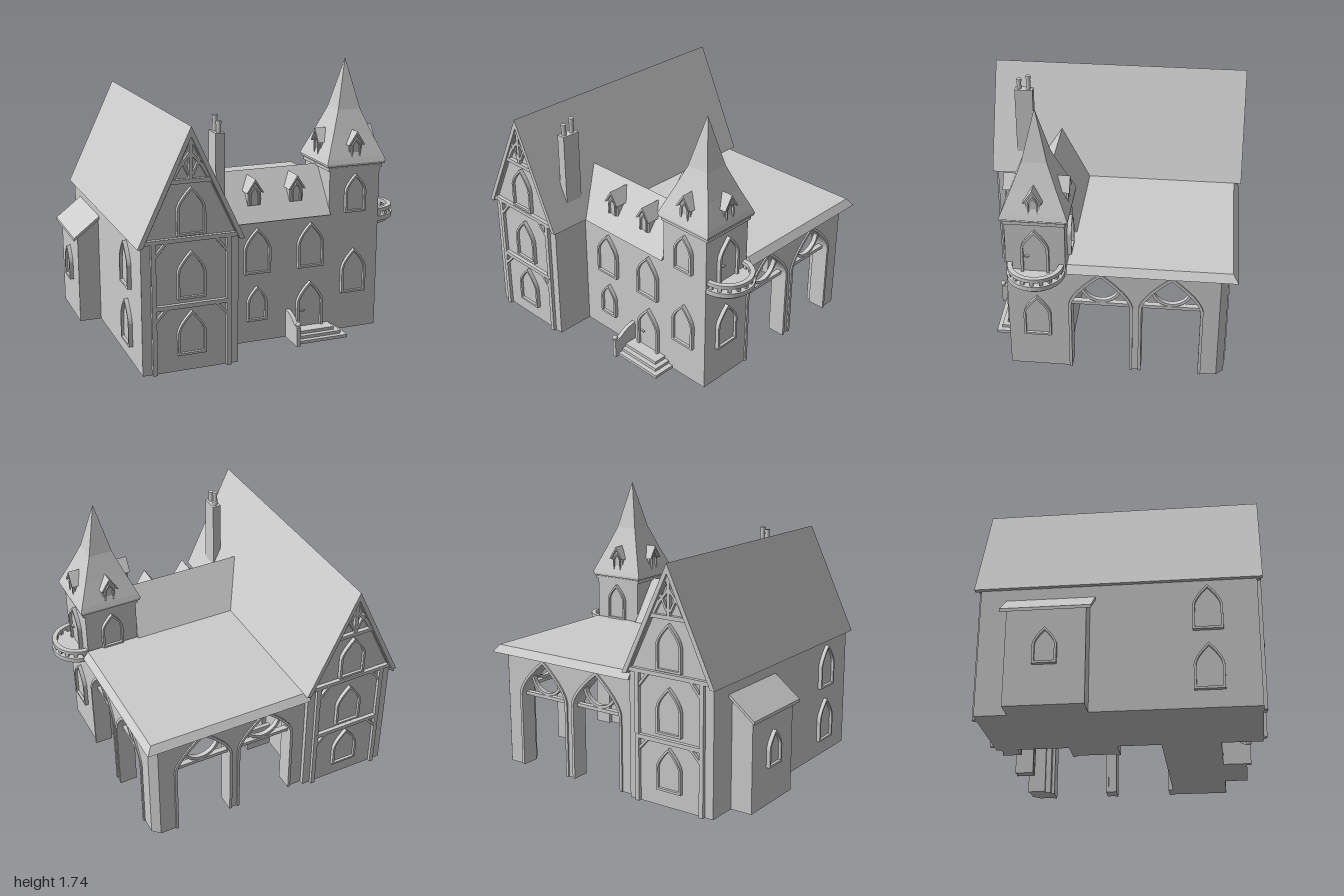
import * as THREE from 'three';
import { ConvexGeometry } from 'three/addons/geometries/ConvexGeometry.js';

const stone = new THREE.MeshStandardMaterial({ color: 0xcccccc });
stone.name = 'grey stone';
const HALF = Math.PI / 2;

function add(parent, geometry, name, x = 0, y = 0, z = 0, ry = 0) {
  const m = new THREE.Mesh(geometry, stone);
  m.name = name;
  m.position.set(x, y, z);
  m.rotation.y = ry;
  parent.add(m);
  return m;
}
function group(parent, name, x = 0, y = 0, z = 0, ry = 0) {
  const g = new THREE.Group();
  g.name = name;
  g.position.set(x, y, z);
  g.rotation.y = ry;
  parent.add(g);
  return g;
}
// Box given by its minimum and maximum corners
function box(parent, name, x0, x1, y0, y1, z0, z1) {
  return add(parent, new THREE.BoxGeometry(x1 - x0, y1 - y0, z1 - z0), name,
    (x0 + x1) / 2, (y0 + y1) / 2, (z0 + z1) / 2);
}
// Straight timber between two points of a facade
function bar(parent, name, x0, y0, x1, y1, w, depth = 0.02) {
  const m = add(parent, new THREE.BoxGeometry(Math.hypot(x1 - x0, y1 - y0), w, depth), name,
    (x0 + x1) / 2, (y0 + y1) / 2, depth / 2);
  m.rotation.z = Math.atan2(y1 - y0, x1 - x0);
}
const poly = (pts) => new THREE.Shape(pts.map((p) => (p.isVector2 ? p : new THREE.Vector2(p[0], p[1]))));
const extrude = (shape, depth) => new THREE.ExtrudeGeometry(shape, { depth, bevelEnabled: false, curveSegments: 12 });

// Pointed arch outline, from lower right over the apex to lower left
function archPoints(w, h, rise = 0.75 * w, x = 0, y = 0) {
  const s = h - rise, r = w / 2, path = new THREE.Path();
  path.moveTo(r, 0);
  path.lineTo(r, s);
  path.quadraticCurveTo(r * 0.93, s + rise * 0.38, 0, h);
  path.quadraticCurveTo(-r * 0.93, s + rise * 0.38, -r, s);
  path.lineTo(-r, 0);
  return path.getPoints(6).map((p) => new THREE.Vector2(p.x + x, p.y + y));
}
function archFrame(w, h, t, rise = 0.75 * w) {
  const inner = archPoints(w - 2 * t, h - t * 1.3, rise * (w - 2 * t) / w);
  return poly(archPoints(w, h, rise).concat(inner.reverse()));
}
function windowAt(parent, x, y, z, ry, w, h) {
  const g = group(parent, 'window', x, y, z, ry);
  add(g, extrude(archFrame(w, h, 0.014), 0.025), 'windowFrame');
  add(g, extrude(poly(archPoints(w - 0.02, h - 0.015)), 0.008), 'windowPane');
  box(g, 'windowSill', -w / 2, w / 2, 0, 0.014, 0, 0.025);
}
function doorAt(parent, x, y, z, ry, w, h) {
  const g = group(parent, 'door', x, y, z, ry);
  add(g, extrude(archFrame(w, h, 0.016), 0.025), 'doorFrame');
  add(g, extrude(poly(archPoints(w - 0.02, h - 0.015)), 0.008), 'doorLeaf');
  box(g, 'doorHandle', -0.065, -0.035, 0.108, 0.116, 0.008, 0.02);
}
// Small gabled dormer, its face at z = 0 and its body running back
function dormerAt(parent, x, y, z, ry, depth) {
  const g = group(parent, 'dormer', x, y, z, ry);
  add(g, extrude(poly([[-0.043, 0], [0.043, 0], [0.043, 0.1], [0, 0.16], [-0.043, 0.1]]), depth), 'dormerBody', 0, 0, -depth);
  add(g, extrude(poly([[-0.057, 0.088], [-0.045, 0.088], [0, 0.155], [0.045, 0.088], [0.057, 0.088], [0, 0.175]]),
    depth + 0.02), 'dormerRoof', 0, 0, -depth);
  add(g, extrude(archFrame(0.064, 0.115, 0.01), 0.012), 'dormerWindowFrame', 0, 0.01);
}

// Half-timbering of one gable, centred on x = 0
function gableFront(parent, z, ry) {
  const g = group(parent, 'gableFront', -0.53, 0, z, ry);
  for (const s of [-1, 1]) {
    box(g, 'cornerTimber', s * 0.229 - 0.014, s * 0.229 + 0.014, 0, 0.8, 0, 0.022);
    bar(g, 'upperBrace', s * 0.22, 0.72, s * 0.15, 0.805, 0.016);
    bar(g, 'lowerBrace', s * 0.22, 0.33, s * 0.15, 0.405, 0.016);
    bar(g, 'bargeTimber', s * 0.3, 0.79, 0, 1.42, 0.022);
    bar(g, 'trussStrut', s * 0.012, 1.19, s * 0.06, 1.29, 0.014);
    bar(g, 'trussArchLower', s * 0.105, 1.17, s * 0.07, 1.235, 0.016);
    bar(g, 'trussArchUpper', s * 0.07, 1.235, 0, 1.32, 0.016);
  }
  box(g, 'middleBeam', -0.23, 0.23, 0.398, 0.424, 0, 0.024);
  box(g, 'eaveBeam', -0.295, 0.295, 0.8, 0.825, 0, 0.024);
  box(g, 'collarBeam', -0.125, 0.125, 1.143, 1.167, 0, 0.024);
  box(g, 'kingPost', -0.011, 0.011, 1.165, 1.4, 0, 0.022);
  for (const [y, h] of [[0.105, 0.27], [0.452, 0.29], [0.835, 0.285]]) windowAt(g, 0, y, 0, 0, 0.175, h);
}

// Arcade wall with two pointed openings; its outer face is at local z = 0.1
function arcade(parent, x, z, ry, u0, u1, centres) {
  const g = group(parent, 'arcade', x, 0, z, ry);
  const pts = [[u0, 0]];
  const r = 0.185;
  for (const c of centres) pts.push(...archPoints(2 * r, 0.71, 0.23, c).reverse());
  pts.push([u1, 0], [u1, 0.745], [u0, 0.745]);
  add(g, extrude(poly(pts), 0.1), 'arcadeWall');
  const arc = new THREE.Shape();
  arc.absarc(0, 0, 0.13, Math.PI, 2 * Math.PI, false);
  arc.absarc(0, 0, 0.112, 2 * Math.PI, Math.PI, true);
  for (const c of centres) {
    add(g, extrude(archFrame(0.395, 0.73, 0.018, 0.24), 0.115), 'archTrim', c, 0, -0.005);
    box(g, 'archTieBeam', c - r, c + r, 0.468, 0.49, 0.035, 0.07);
    add(g, extrude(arc, 0.03), 'archTracery', c, 0.62, 0.04);
  }
}

export function createModel() {
  const root = new THREE.Group();
  root.name = 'gothicHouse';

  // Main hall with steep gable roof
  const hall = group(root, 'hall');
  add(hall, extrude(poly([[-0.83, 0], [-0.235, 0], [-0.235, 0.8], [-0.53, 1.42], [-0.83, 0.8]]), 1.62), 'hallWalls', 0, 0, -0.81);
  add(hall, extrude(poly([[-0.857, 0.785], [-0.826, 0.785], [-0.53, 1.41], [-0.236, 0.785], [-0.205, 0.785], [-0.53, 1.47]]),
    1.69), 'hallRoof', 0, 0, -0.848);
  gableFront(hall, 0.81, 0);
  gableFront(hall, -0.81, Math.PI);
  for (const y of [0.105, 0.47]) windowAt(hall, -0.83, y, 0.52, -HALF, 0.175, 0.28);

  // Chimney with two pots
  const chimney = group(root, 'chimney');
  box(chimney, 'chimneyStack', -0.325, -0.268, 0.9, 1.38, 0.555, 0.675);
  for (const [z, top] of [[0.585, 1.475], [0.647, 1.45]]) {
    add(chimney, new THREE.CylinderGeometry(0.014, 0.016, top - 1.37, 16), 'chimneyPot', -0.297, (top + 1.37) / 2, z);
    add(chimney, new THREE.CylinderGeometry(0.017, 0.017, 0.02, 16), 'chimneyPotRim', -0.297, top - 0.01, z);
  }

  // Lean-to on the left side
  const leanTo = group(root, 'leanTo');
  add(leanTo, extrude(poly([[-0.97, 0], [-0.82, 0], [-0.82, 0.7], [-0.97, 0.585]]), 0.46), 'leanToWalls', 0, 0, -0.62);
  add(leanTo, extrude(poly([[-1, 0.562], [-0.82, 0.7], [-0.82, 0.722], [-1, 0.582]]), 0.525), 'leanToRoof', 0, 0, -0.655);
  windowAt(leanTo, -0.97, 0.24, -0.39, -HALF, 0.14, 0.22);

  // Front wing
  const wing = group(root, 'wing');
  box(wing, 'wingWalls', -0.25, 0.48, 0, 0.785, 0.2, 0.56);
  add(wing, extrude(poly([[-0.582, 0.783], [-0.17, 0.783], [-0.375, 1.07]]), 0.825), 'wingRoof', -0.35, 0, 0, HALF);
  for (const x of [-0.015, 0.265]) dormerAt(wing, x, 0.87, 0.515, 0, 0.12);
  for (const x of [-0.015, 0.345]) windowAt(wing, x, 0.455, 0.56, 0, 0.175, 0.29);
  windowAt(wing, -0.015, 0.145, 0.56, 0, 0.13, 0.225);

  // Front door, steps and curved side wall
  doorAt(wing, 0.345, 0.055, 0.56, 0, 0.18, 0.305);
  for (let i = 0; i < 3; i++) {
    box(wing, 'frontStep', 0.205, 0.548 - i * 0.032, i * 0.02, (i + 1) * 0.02, 0.55, 0.708 - i * 0.03);
  }
  const side = new THREE.Shape();
  side.moveTo(-0.735, 0);
  side.lineTo(-0.56, 0);
  side.lineTo(-0.56, 0.185);
  side.quadraticCurveTo(-0.63, 0.18, -0.67, 0.145);
  side.quadraticCurveTo(-0.7, 0.125, -0.735, 0.125);
  add(wing, extrude(side, 0.026), 'stairWall', 0.187, 0, 0, HALF);
  add(wing, new THREE.SphereGeometry(0.017, 16, 12), 'stairWallBall', 0.2, 0.143, 0.725);

  // Tower
  const tower = group(root, 'tower', 0.648, 0, 0.38);
  box(tower, 'towerWalls', -0.175, 0.172, 0, 1.1, -0.18, 0.18);
  box(tower, 'towerCornice', -0.187, 0.187, 1.058, 1.078, -0.187, 0.187);
  box(tower, 'towerEave', -0.198, 0.198, 1.086, 1.102, -0.202, 0.202);
  const spire = new THREE.LatheGeometry(
    [[0, 1.1], [0.204, 1.1], [0.193, 1.13], [0.135, 1.268], [0.076, 1.42], [0, 1.735]]
      .map(([r, y]) => new THREE.Vector2(r * Math.SQRT2, y)), 4, Math.PI / 4).toNonIndexed();
  spire.computeVertexNormals();
  add(tower, spire, 'towerSpire');
  for (let i = 0; i < 4; i++) {
    const a = i * HALF;
    dormerAt(tower, Math.sin(a) * 0.178, 1.125, Math.cos(a) * 0.178, a, 0.09);
  }
  windowAt(tower, 0, 0.25, 0.18, 0, 0.17, 0.29);
  windowAt(tower, 0, 0.785, 0.18, 0, 0.142, 0.245);
  windowAt(tower, 0, 0.785, -0.18, Math.PI, 0.142, 0.245);
  windowAt(tower, 0.172, 0.25, 0, HALF, 0.17, 0.29);
  doorAt(tower, 0.172, 0.725, 0, HALF, 0.17, 0.295);

  // Round balcony with open rail
  const balcony = group(root, 'balcony', 0.82, 0, 0.38);
  const halfDisc = (r, h) => new THREE.CylinderGeometry(r, r, h, 40);
  add(balcony, halfDisc(0.145, 0.025), 'balconyCorbel', 0, 0.687);
  add(balcony, halfDisc(0.176, 0.03), 'balconyFloor', 0, 0.715);
  const ring = new THREE.Shape();
  ring.absarc(0, 0, 0.17, -HALF, HALF, false);
  ring.absarc(0, 0, 0.14, HALF, -HALF, true);
  const rail = extrude(ring, 0.024);
  rail.rotateX(-HALF);
  add(balcony, rail, 'balconyRail', 0, 0.756);
  for (let i = 0; i <= 8; i++) {
    const a = (i / 8 - 0.5) * 2.9;
    add(balcony, new THREE.BoxGeometry(0.018, 0.036, 0.022), 'baluster', 0.155 * Math.cos(a), 0.743, 0.155 * Math.sin(a), -a);
  }

  // Open carriage porch behind the wing
  const porch = group(root, 'porch');
  arcade(porch, 0.72, 0, HALF, -0.2, 0.66, [0.01, 0.44]);
  arcade(porch, 0, -0.68, Math.PI, -0.7, 0.24, [-0.475, -0.045]);
  const pier = extrude(poly([[0.68, 0.64], [0.82, 0.64], [0.82, 0.735], [0.775, 0.78], [0.68, 0.78]]), 0.745);
  pier.rotateX(-HALF);
  add(porch, pier, 'cornerPier');
  const roofPoints = [];
  for (const [y, x1, z0] of [[0.74, 0.86, -0.836], [0.787, 0.825, -0.8]]) {
    for (const x of [-0.24, x1]) for (const z of [z0, 0.19]) roofPoints.push(new THREE.Vector3(x, y, z));
  }
  add(porch, new ConvexGeometry(roofPoints), 'porchRoof');

  // Porch door with steps between two posts
  doorAt(porch, -0.235, 0.055, -0.215, HALF, 0.18, 0.305);
  const steps = group(porch, 'porchSteps', -0.235, 0, -0.215, HALF);
  for (let i = 0; i < 3; i++) box(steps, 'porchStep', -0.13, 0.13, i * 0.02, (i + 1) * 0.02, 0, 0.15 - i * 0.03);
  for (const s of [-1, 1]) {
    box(steps, 'stepWall', s * 0.135 - 0.013, s * 0.135 + 0.013, 0, 0.165, 0, 0.17);
    box(steps, 'stepPostCap', s * 0.135 - 0.017, s * 0.135 + 0.017, 0.165, 0.187, 0.135, 0.175);
  }
  return root;
}
